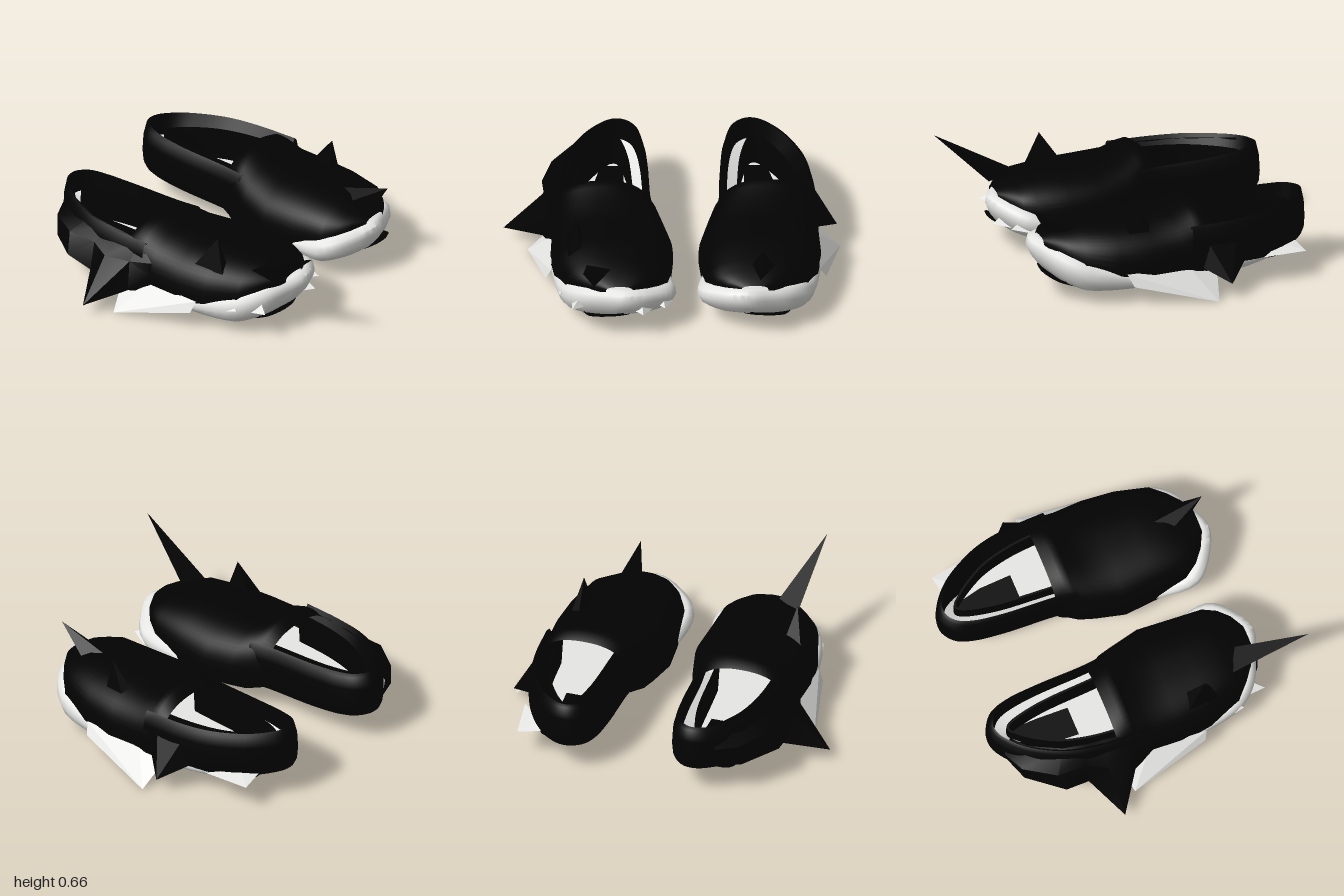
import * as THREE from 'three';
import { toCreasedNormals } from 'three/addons/utils/BufferGeometryUtils.js';

const black = new THREE.MeshStandardMaterial({ color: 0x020202, side: THREE.DoubleSide });
black.name = 'black';
const white = new THREE.MeshStandardMaterial({ color: 0xeaeae8, side: THREE.DoubleSide });
white.name = 'white';

// Skin between rows of [x, y, z] points
function loft(rows, closed = false, crease = 0.9) {
  const n = rows[0].length, index = [];
  for (let r = 0; r < rows.length - 1; r++) {
    for (let i = 0; i < (closed ? n : n - 1); i++) {
      const j = (i + 1) % n, a = r * n;
      index.push(a + i, a + n + i, a + j, a + j, a + n + i, a + n + j);
    }
  }
  const g = new THREE.BufferGeometry();
  g.setAttribute('position', new THREE.Float32BufferAttribute(rows.flat(2), 3));
  g.setIndex(index);
  return toCreasedNormals(g, crease);
}

function add(group, name, geometry, material) {
  const mesh = new THREE.Mesh(geometry, material);
  mesh.name = name;
  group.add(mesh);
}

// Piecewise linear lookup in [[key, value], ...]
function lookup(table, k) {
  for (let i = 1; i < table.length; i++) {
    const [k0, v0] = table[i - 1], [k1, v1] = table[i];
    if (k <= k1) return v0 + (v1 - v0) * Math.max(0, (k - k0) / (k1 - k0));
  }
  return table[table.length - 1][1];
}

// Height of the sole's underside (lower on the outer side) and upper edge along z
const BOTTOM = [[-0.9, 0.15], [-0.6, 0.13], [-0.2, 0.12], [0.3, 0.105], [0.5, 0.105], [0.62, 0.135], [0.75, 0.2]];
const TOP = [[-0.9, 0.2], [-0.4, 0.2], [-0.2, 0.17], [0.2, 0.18], [0.45, 0.24], [0.6, 0.3], [0.75, 0.36]];
const bottomAt = (x, z) => lookup(BOTTOM, z) - 0.04 * (x - 0.5);

function smooth(points, closed, count) {
  const curve = new THREE.CatmullRomCurve3(points.map(([x, z]) => new THREE.Vector3(x, 0, z)), closed);
  return Array.from({ length: count }, (_, i) => {
    const p = curve.getPoint(i / (closed ? count : count - 1));
    return [p.x, p.z];
  });
}

function makeSole(shoe) {
  const outline = smooth([[0.46, -0.9], [0.38, -0.87], [0.33, -0.75], [0.31, -0.5], [0.29, -0.25], [0.2, 0],
    [0.16, 0.3], [0.14, 0.56], [0.26, 0.68], [0.42, 0.745], [0.56, 0.7], [0.71, 0.63], [0.81, 0.51],
    [0.86, 0.25], [0.87, 0], [0.84, -0.3], [0.8, -0.55], [0.7, -0.75], [0.6, -0.86]], true, 76);
  const ring = (s, f, lift = 0) => outline.map(([x, z]) => {
    const px = 0.56 + (x - 0.56) * s, pz = z * (0.2 + 0.8 * s), b = bottomAt(px, pz);
    return [px, b + (lookup(TOP, pz) - b) * f + lift, pz];
  });
  // Recessed tread, rim, slanted sidewall and toe bumper
  add(shoe, 'sole', loft([
    outline.map(([, z]) => [0.52, bottomAt(0.52, z * 0.8) + 0.008, z * 0.8]),
    ring(0.78, 0, 0.008), ring(0.8, 0), ring(0.88, 0), ring(0.95, 0.2),
    ring(1, 0.55), ring(0.985, 0.85), ring(0.93, 1.04), ring(0.86, 1.08),
  ], true), white);
  add(shoe, 'insole', loft([
    outline.map(([x, z]) => [0.5 + (x - 0.5) * 0.94, 0.2, z * 0.94]),
    outline.map(([, z]) => [0.5, 0.2, z * 0.9]),
  ], true), white);
  // Dark tread pads under the forefoot and heel
  for (const [name, cx, cz, rx, rz, p] of [['forefootPad', 0.53, 0.26, 0.19, 0.45, 0.8], ['heelPad', 0.56, -0.67, 0.125, 0.15, 0.6]]) {
    const oval = (s, dy) => Array.from({ length: 40 }, (_, i) => {
      const a = i / 40 * Math.PI * 2, c = Math.cos(a), n = Math.sin(a);
      const x = cx + rx * s * Math.sign(c) * Math.abs(c) ** p, z = cz + rz * s * Math.sign(n) * Math.abs(n) ** p;
      return [x, bottomAt(x, z) + dy, z];
    });
    add(shoe, name, loft([oval(1, 0.01), oval(0.97, -0.01), oval(0.8, -0.012), oval(0.6, -0.012),
      oval(0.4, -0.012), oval(0.2, -0.012), oval(0, -0.012)], true), black);
  }
  // Tapered dark patch on the insole
  add(shoe, 'insolePatch', loft([[[0.43, 0.206, -0.45], [0.61, 0.206, -0.45]], [[0.425, 0.206, -0.65], [0.6, 0.206, -0.65]],
    [[0.43, 0.206, -0.82], [0.56, 0.206, -0.82]]]), black);
}

function makeUpper(shoe) {
  // Front of the upper: arched sections [z, inner x, outer x, base y, top y]
  const sections = [[-0.28, 0.27, 0.85, 0.17, 0.47], [-0.22, 0.25, 0.85, 0.15, 0.51], [-0.17, 0.22, 0.86, 0.14, 0.5],
    [-0.08, 0.19, 0.86, 0.14, 0.465], [0.1, 0.145, 0.87, 0.14, 0.455], [0.3, 0.16, 0.85, 0.15, 0.45],
    [0.5, 0.18, 0.79, 0.2, 0.435], [0.58, 0.23, 0.71, 0.26, 0.405], [0.64, 0.3, 0.63, 0.3, 0.39], [0.685, 0.39, 0.55, 0.33, 0.365]];
  add(shoe, 'vamp', loft(sections.map(([z, xi, xo, base, top]) => Array.from({ length: 29 }, (_, i) => {
    const a = i / 28 * Math.PI, c = Math.cos(a);
    const x = (xi + xo) / 2 - (xo - xi) / 2 * Math.sign(c) * Math.abs(c) ** 0.85;
    return [x, base + (top - base) * Math.max(0, Math.sin(a)) ** 0.6, z];
  })), false, 1.2), black);

  // Rounded heel wall swept round the foot opening
  const outer = smooth([[0.25, -0.15], [0.27, -0.3], [0.28, -0.6], [0.3, -0.8], [0.34, -0.91], [0.42, -0.97],
    [0.5, -0.97], [0.6, -0.91], [0.7, -0.8], [0.8, -0.6], [0.84, -0.4], [0.85, -0.15]], false, 56);
  const inner = smooth([[0.37, -0.15], [0.38, -0.3], [0.4, -0.6], [0.43, -0.76], [0.45, -0.82], [0.47, -0.85],
    [0.5, -0.85], [0.53, -0.82], [0.58, -0.76], [0.67, -0.6], [0.72, -0.4], [0.74, -0.15]], false, 56);
  const row = (f, y, heelLift = 0) => outer.map(([x, z], i) => {
    const t = i / 55, k = typeof f === 'function' ? f(t) : f;
    return [x + (inner[i][0] - x) * k, y + heelLift * Math.sin(t * Math.PI) ** 2, z + (inner[i][1] - z) * k];
  });
  // Black reaches further inward on the outer side of the foot
  const edge = (t) => 0.42 + 0.53 * THREE.MathUtils.smoothstep(t, 0.5, 0.75);
  add(shoe, 'heelWall', loft([row(0.15, 0.15, 0.04), row(0.04, 0.2, 0.02), row(0, 0.28), row(0.04, 0.35, 0.03),
    row(0.17, 0.41, 0.045), row(0.34, 0.43, 0.035), row(edge, 0.33)], false, 1.3), black);
  add(shoe, 'heelLining', loft([row(edge, 0.33), row(0.96, 0.3)]), white);
  add(shoe, 'innerCollar', loft([row(0.96, 0.2), row(0.94, 0.33), row(0.97, 0.4), row(1.08, 0.4), row(1.1, 0.35), row(1.02, 0.2)]), black);
}

// Sharp fold: a fan of flat facets from a tip to a base line
function spike(group, name, material, tip, ...base) {
  const points = [];
  for (let i = 0; i < base.length - 1; i++) points.push(...tip, ...base[i], ...base[i + 1]);
  const g = new THREE.BufferGeometry();
  g.setAttribute('position', new THREE.Float32BufferAttribute(points, 3));
  g.computeVertexNormals();
  add(group, name, g, material);
}

export function createModel() {
  const model = new THREE.Group();
  model.name = 'slipOnShoes';
  for (const side of ['left', 'right']) {
    const shoe = new THREE.Group();
    shoe.name = side + 'Shoe';
    makeSole(shoe);
    makeUpper(shoe);
    if (side === 'right') {
      shoe.scale.x = -1;
      shoe.position.x = 0.14;
    }
    model.add(shoe);
  }

  const folds = new THREE.Group();
  folds.name = 'sharpFolds';
  model.add(folds);
  // Upward points on the uppers
  spike(folds, 'rightToeSpike', black, [-0.55, 0.66, 0.98], [-0.48, 0.35, 0.66], [-0.52, 0.4, 0.5], [-0.38, 0.42, 0.58], [-0.48, 0.35, 0.66]);
  spike(folds, 'rightTopSpike', black, [-0.58, 0.58, 0.31], [-0.63, 0.38, 0.38], [-0.64, 0.38, 0.18], [-0.54, 0.42, 0.2], [-0.55, 0.4, 0.36], [-0.63, 0.38, 0.38]);
  spike(folds, 'leftToeSpike', black, [0.53, 0.54, 0.74], [0.5, 0.36, 0.64], [0.45, 0.41, 0.52], [0.52, 0.43, 0.4], [0.6, 0.4, 0.52], [0.5, 0.36, 0.64]);
  spike(folds, 'leftTopSpike', black, [0.71, 0.59, 0.2], [0.66, 0.42, 0.22], [0.7, 0.41, 0.06], [0.76, 0.38, 0.08], [0.75, 0.38, 0.22], [0.66, 0.42, 0.22]);
  // Flared point at the outer side of the left shoe
  spike(folds, 'leftSideSpike', black, [0.97, 0.1, -0.35], [0.84, 0.18, -0.2], [0.84, 0.32, -0.25], [0.83, 0.32, -0.42], [0.82, 0.18, -0.48], [0.84, 0.18, -0.2]);
  // Outer heel quarter of the right shoe, pulled out to a point
  add(folds, 'rightFlaredQuarter', loft([
    [[-0.42, 0.45, -0.87], [-0.5, 0.43, -0.79], [-0.59, 0.42, -0.6], [-0.62, 0.42, -0.45], [-0.63, 0.42, -0.35], [-0.65, 0.41, -0.2], [-0.71, 0.33, -0.08]],
    [[-0.46, 0.32, -0.92], [-0.59, 0.33, -0.86], [-0.71, 0.34, -0.68], [-0.71, 0.33, -0.5], [-0.77, 0.31, -0.38], [-0.74, 0.31, -0.22], [-0.72, 0.25, -0.08]],
    [[-0.46, 0.2, -0.9], [-0.6, 0.2, -0.85], [-0.77, 0.22, -0.65], [-0.75, 0.16, -0.5], [-1, 0.08, -0.37], [-0.77, 0.13, -0.21], [-0.72, 0.15, -0.08]],
  ], false, 0.6), black);
  // Pale flaps along the sole edge
  spike(folds, 'leftSoleFlap', white, [0.99, 0.005, -0.26], [0.84, 0.14, -0.3], [0.85, 0.19, -0.12], [0.86, 0.2, 0.27], [0.9, 0.13, 0.24], [0.86, 0.12, 0.1]);
  spike(folds, 'rightSoleFlap', white, [-0.86, 0.005, -0.25], [-0.7, 0.14, -0.3], [-0.71, 0.2, -0.1], [-0.73, 0.2, 0.26], [-0.76, 0.13, 0.24], [-0.72, 0.12, 0.1]);
  spike(folds, 'leftHeelFlap', white, [0.78, 0.17, -0.88], [0.64, 0.19, -0.86], [0.68, 0.2, -0.76], [0.82, 0.18, -0.6]);
  // Small points around the toe bumpers
  for (const [x, z, bx, bz] of [[-0.61, 0.68, -0.54, 0.58], [-0.68, 0.52, -0.62, 0.44], [-0.19, 0.74, -0.2, 0.64], [-0.06, 0.67, -0.08, 0.56]]) {
    spike(folds, 'toePoint', white, [x, 0.2, z], [bx - 0.07, 0.18, bz], [bx, 0.27, bz], [bx + 0.07, 0.18, bz], [bx - 0.07, 0.18, bz]);
  }
  return model;
}
